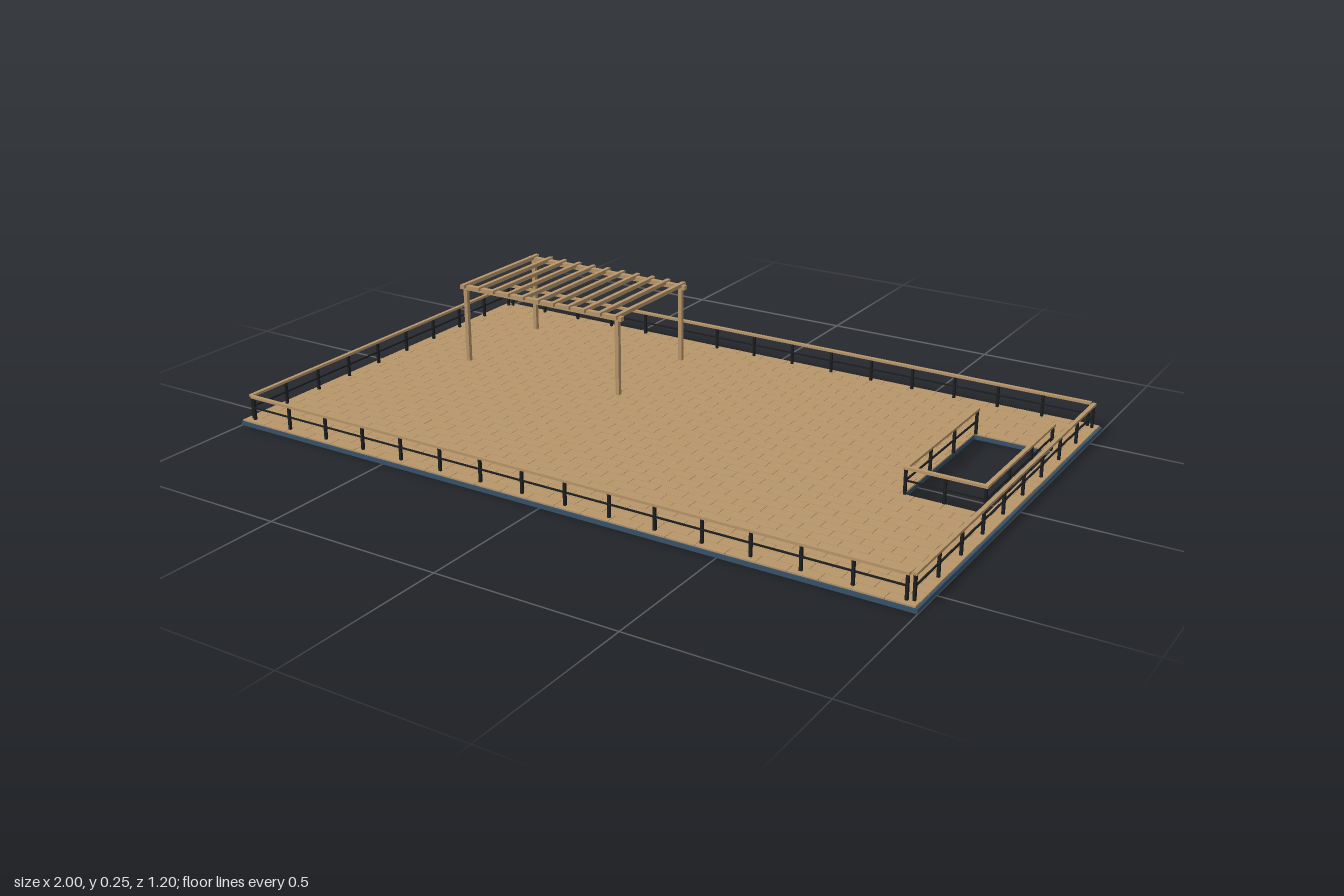
import * as THREE from 'three';
import { mergeGeometries } from 'three/addons/utils/BufferGeometryUtils.js';

const HOLE = { x0: 0.73, x1: 0.945, z0: -0.365, z1: 0.085 };
const DECK = 0.016;

// Box given by its extents on each axis
function box(x0, x1, y0, y1, z0, z1) {
  return new THREE.BoxGeometry(x1 - x0, y1 - y0, z1 - z0)
    .translate((x0 + x1) / 2, (y0 + y1) / 2, (z0 + z1) / 2);
}

// Box centred on a point
function block(x, y, z, w, h, d) {
  return new THREE.BoxGeometry(w, h, d).translate(x, y, z);
}

function part(name, geometries, material) {
  const mesh = new THREE.Mesh(mergeGeometries(geometries), material);
  mesh.name = name;
  return mesh;
}

// One straight run of railing: posts, middle bar and wooden handrail
function railing(name, a, b, bays, top, mats) {
  const posts = [];
  const dx = b[0] - a[0], dz = b[1] - a[1];
  const cx = (a[0] + b[0]) / 2, cz = (a[1] + b[1]) / 2;
  const bar = (y, size, h) =>
    block(cx, y, cz, Math.abs(dx) + size, h, Math.abs(dz) + size);
  for (let i = 0; i <= bays; i++) {
    const t = i / bays;
    posts.push(block(a[0] + dx * t, (DECK + top) / 2 - 0.002, a[1] + dz * t, 0.007, top - DECK - 0.004, 0.007));
  }
  const group = new THREE.Group();
  group.name = name;
  group.add(part('railPosts', posts, mats.metal));
  group.add(part('middleBar', [bar((DECK + top) / 2, 0.004, 0.004)], mats.metal));
  group.add(part('handrail', [bar(top - 0.003, 0.011, 0.007)], mats.wood));
  return group;
}

export function createModel() {
  const mats = {};
  const colours = { wood: 0xb8966a, base: 0x36526b, metal: 0x1c1e20 };
  for (const [name, color] of Object.entries(colours)) {
    mats[name] = new THREE.MeshStandardMaterial({ color });
    mats[name].name = name;
  }
  const model = new THREE.Group();
  model.name = 'roofDeck';

  // Base slab with the stair opening
  const outline = new THREE.Shape([[-1, -0.6], [1, -0.6], [1, 0.6], [-1, 0.6]].map(p => new THREE.Vector2(...p)));
  outline.holes.push(new THREE.Path([
    [HOLE.x0, -HOLE.z0], [HOLE.x1, -HOLE.z0], [HOLE.x1, -HOLE.z1], [HOLE.x0, -HOLE.z1],
  ].map(p => new THREE.Vector2(...p))));
  const slab = new THREE.ExtrudeGeometry(outline, { depth: 0.012, bevelEnabled: false }).rotateX(-Math.PI / 2);
  model.add(part('baseSlab', [slab], mats.base));

  // Staggered deck boards, cut around the opening
  const boards = [];
  const gap = 0.0006, length = 0.08, end = 0.994;
  const bands = [
    [-0.598, HOLE.z0, 7, [[-0.998, end]]],
    [HOLE.z0, HOLE.z1, 13, [[-0.998, HOLE.x0], [HOLE.x1, end]]],
    [HOLE.z1, 0.598, 15, [[-0.998, end]]],
  ];
  let row = 0;
  for (const [z0, z1, rows, spans] of bands) {
    const depth = (z1 - z0) / rows;
    for (let r = 0; r < rows; r++, row++) {
      const z = z0 + r * depth;
      for (const [from, to] of spans) {
        for (let x = -1 - (row % 2) * length / 2; x < to; x += length) {
          const left = Math.max(x, from), right = Math.min(x + length, to);
          if (right - left < 0.004) continue;
          boards.push(box(left + gap, right - gap, 0.012, DECK, z + gap, z + depth - gap));
        }
      }
    }
  }
  model.add(part('deckBoards', boards, mats.wood));

  // Railings around the edge
  for (const s of [-1, 1]) {
    model.add(railing(s > 0 ? 'frontRailing' : 'backRailing', [-0.968, s * 0.58], [0.965, s * 0.58], 15, 0.085, mats));
    model.add(railing(s > 0 ? 'leftRailing' : 'rightRailing', [s * 0.98, -0.573], [s * 0.98, 0.573], 9, 0.085, mats));
  }

  // Railings on three sides of the opening
  const { x0, x1, z0, z1 } = HOLE;
  model.add(railing('openingInnerRailing', [x0 + 0.003, z0], [x0 + 0.003, z1], 3, 0.09, mats));
  model.add(railing('openingOuterRailing', [x1 - 0.003, z0], [x1 - 0.003, z1], 3, 0.09, mats));
  model.add(railing('openingFrontRailing', [x0 + 0.003, z1], [x1 - 0.003, z1], 2, 0.09, mats));

  // Pergola: four posts, two beams and eleven rafters
  const pergola = new THREE.Group();
  pergola.name = 'pergola';
  const posts = [], beams = [], rafters = [];
  for (const z of [-0.1, -0.435]) {
    for (const x of [-0.768, -0.235]) posts.push(box(x - 0.006, x + 0.006, DECK, 0.238, z - 0.006, z + 0.006));
    beams.push(box(-0.785, -0.218, 0.237, 0.25, z - 0.0075, z + 0.0075));
  }
  for (let i = 0; i <= 10; i++) {
    const x = -0.768 + i * 0.0533;
    rafters.push(box(x - 0.006, x + 0.006, 0.244, 0.255, -0.453, -0.083));
  }
  pergola.add(part('pergolaPosts', posts, mats.wood));
  pergola.add(part('pergolaBeams', beams, mats.wood));
  pergola.add(part('pergolaRafters', rafters, mats.wood));
  model.add(pergola);

  return model;
}
